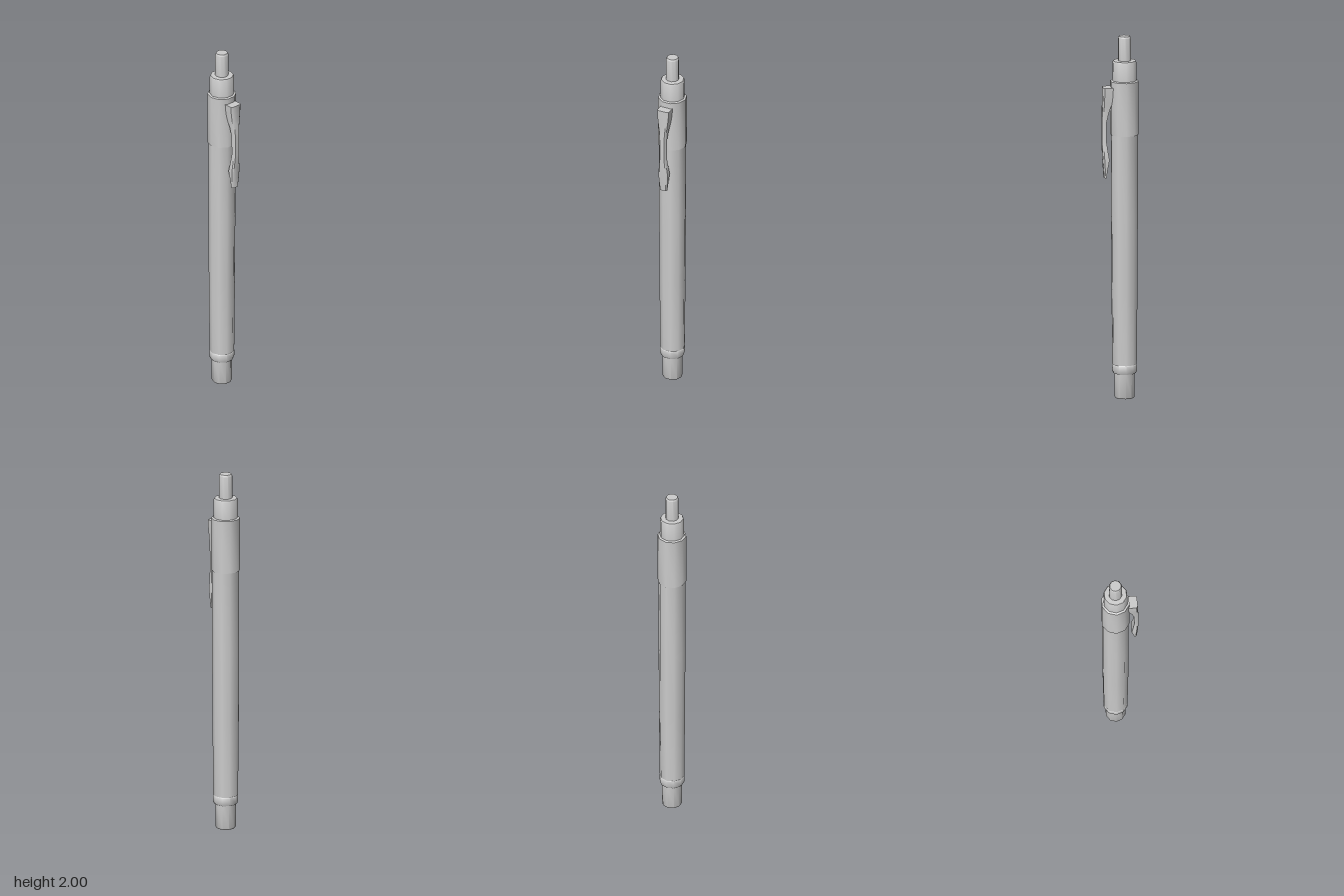
import * as THREE from 'three';
import { toCreasedNormals } from 'three/addons/utils/BufferGeometryUtils.js';

const SIDES = 10;
const AXIS_Z = -0.026; // the pen body sits behind centre, the clip in front
const CREASE = 0.75;   // wider than the 36 degree facets, so they shade smooth

export function createModel() {
  const group = new THREE.Group();
  const material = new THREE.MeshStandardMaterial({ color: 0xcccccc });

  const add = (name, geometry) => {
    const mesh = new THREE.Mesh(toCreasedNormals(geometry, CREASE), material);
    mesh.name = name;
    group.add(mesh);
    return mesh;
  };

  // Turned part from [radius, height] pairs, bottom to top
  const turned = (name, profile) => {
    const points = profile.map(([r, y]) => new THREE.Vector2(r, y));
    add(name, new THREE.LatheGeometry(points, SIDES, Math.PI / 2)).position.z = AXIS_Z;
  };

  turned('tip', [[0, 0], [0.051, 0], [0.055, 0.006], [0.056, 0.14]]);
  turned('tipRing', [[0.054, 0.137], [0.063, 0.137], [0.068, 0.15], [0.068, 0.182], [0.064, 0.187]]);
  turned('barrel', [[0.06, 0.186], [0.067, 0.186], [0.071, 0.6], [0.073, 1.0], [0.073, 1.46]]);
  turned('sleeve', [[0.07, 1.457], [0.078, 1.457], [0.078, 1.752], [0.064, 1.757]]);
  turned('collar', [[0.067, 1.75], [0.066, 1.855], [0.062, 1.864], [0.03, 1.866]]);
  turned('pushButton', [[0.036, 1.86], [0.036, 1.99], [0.031, 2], [0, 2]]);

  // Clip stations, top to bottom: [height, half width, inner z, outer z]
  const stations = [
    [1.72, 0.035, 0.04, 0.093],
    [1.67, 0.032, 0.04, 0.094],
    [1.63, 0.027, 0.047, 0.095],
    [1.58, 0.021, 0.063, 0.097],
    [1.53, 0.018, 0.074, 0.099],
    [1.42, 0.018, 0.075, 0.099],
    [1.37, 0.023, 0.068, 0.096],
    [1.32, 0.028, 0.06, 0.093],
    [1.27, 0.025, 0.069, 0.09],
    [1.22, 0.021, 0.076, 0.087],
  ];
  add('clip', loft(stations.map(([y, w, inner, outer]) => {
    const shoulder = outer - 0.007;
    return [
      [-w, y, inner], [w, y, inner], [w, y, shoulder],
      [w * 0.7, y, outer], [-w * 0.7, y, outer], [-w, y, shoulder],
    ];
  })));

  return group;
}

// Skin over equal-sized rings running downwards, closed at both ends
function loft(rings) {
  const n = rings[0].length;
  const index = [];
  for (let i = 0; i < rings.length - 1; i++) {
    for (let j = 0; j < n; j++) {
      const a = i * n + j;
      const b = i * n + ((j + 1) % n);
      index.push(a, b, a + n, b, b + n, a + n);
    }
  }
  const last = (rings.length - 1) * n;
  for (let j = 1; j < n - 1; j++) {
    index.push(0, j + 1, j);
    index.push(last, last + j, last + j + 1);
  }
  const geometry = new THREE.BufferGeometry();
  geometry.setAttribute('position', new THREE.Float32BufferAttribute(rings.flat(2), 3));
  geometry.setIndex(index);
  return geometry;
}
